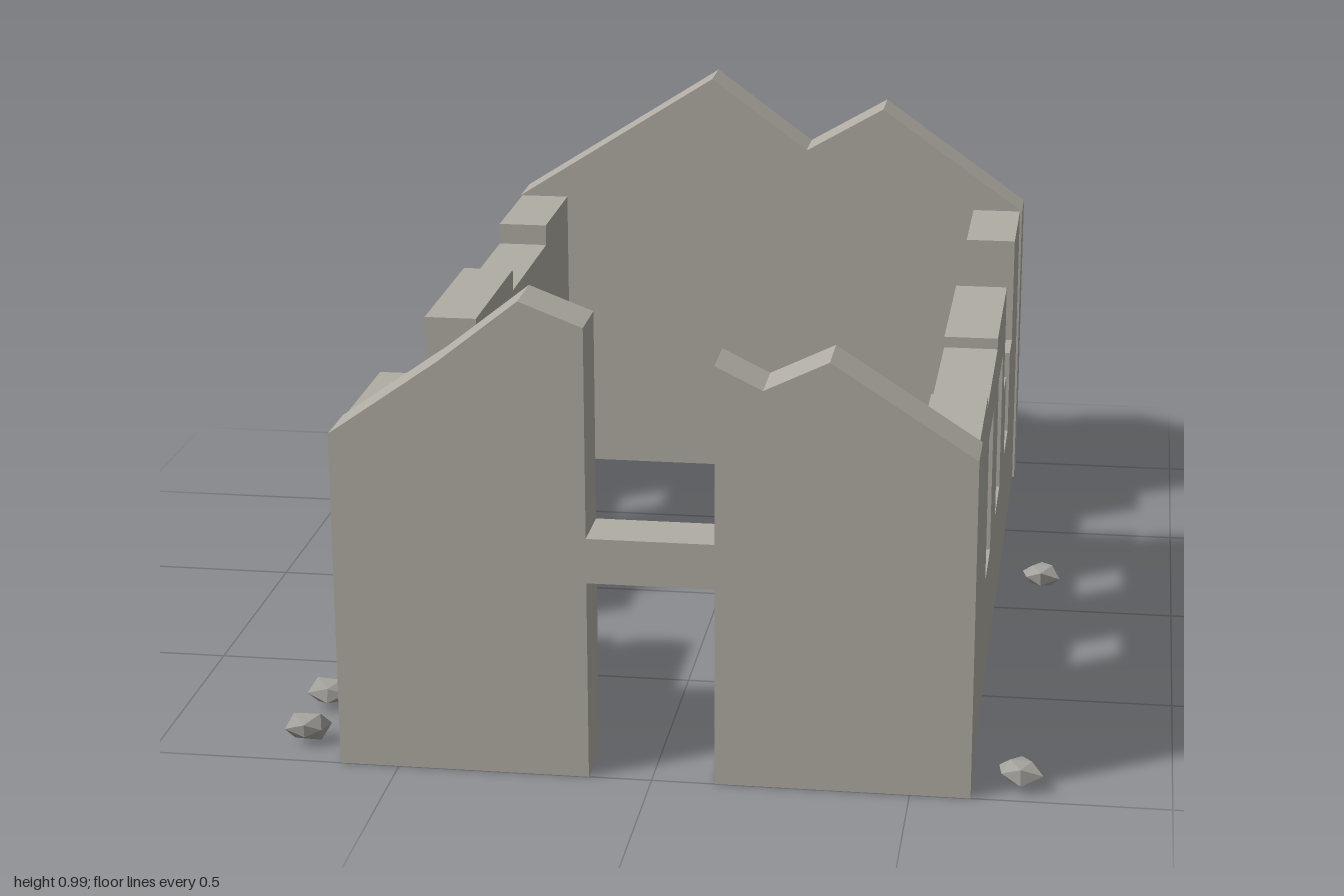
import * as THREE from 'three';

const WALL = 0.115;   // wall thickness
const HALF_X = 0.617;
const EAVE = 0.68;

const wallStone = new THREE.MeshStandardMaterial({ color: 0xb0aca3 });
wallStone.name = 'wallStone';
const rubbleStone = new THREE.MeshStandardMaterial({ color: 0xa3a19b, flatShading: true });
rubbleStone.name = 'rubbleStone';

const toPath = (pts, Type = THREE.Shape) => new Type(pts.map(([x, y]) => new THREE.Vector2(x, y)));

function slab(name, outline, holes = [], depth = WALL) {
  const shape = toPath(outline);
  holes.forEach((h) => shape.holes.push(toPath(h, THREE.Path)));
  const geo = new THREE.ExtrudeGeometry(shape, { depth, bevelEnabled: false });
  const mesh = new THREE.Mesh(geo, wallStone);
  mesh.name = name;
  return mesh;
}

// Long wall: three bays, the rear one broken down into its window
function sideWall(name, side, shallowTop) {
  const end = 1 - WALL, half = 0.094, sill = 0.25, head = 0.556, broken = 0.44;
  const windowAt = (c) => [[c - half, sill], [c - half, head], [c + half, head], [c + half, sill]];
  const outline = [
    [-end, 0], [end, 0], [end, EAVE],
    [0.6, EAVE], [0.6, shallowTop], [0.2, shallowTop], [0.2, EAVE], [-0.2, EAVE],
    [-0.2, broken], [-0.4 + half, broken], [-0.4 + half, sill],
    [-0.4 - half, sill], [-0.4 - half, broken], [-0.6, broken],
    [-0.6, EAVE], [-end, EAVE],
  ];
  const wall = slab(name, outline, [windowAt(0), windowAt(0.4)], 0.112);
  wall.rotation.y = -side * Math.PI / 2;
  wall.position.x = side * 0.612;
  return wall;
}

// Rough chunk of fallen stone
function rubble(x, z, seed) {
  const geo = new THREE.IcosahedronGeometry(1, 0);
  const pos = geo.attributes.position;
  const v = new THREE.Vector3();
  for (let i = 0; i < pos.count; i++) {
    v.fromBufferAttribute(pos, i);
    // the same corner always gets the same offset, so faces stay joined
    const r = 0.98 + 0.16 * Math.sin(v.x * 5.1 + v.y * 7.3 + v.z * 3.7 + seed);
    pos.setXYZ(i, v.x * r * 0.046, v.y * r * 0.029, v.z * r * 0.038);
  }
  geo.computeVertexNormals();
  const mesh = new THREE.Mesh(geo, rubbleStone);
  mesh.name = 'rubble';
  mesh.position.set(x, 0.036, z);
  return mesh;
}

export function createModel() {
  const model = new THREE.Group();
  model.name = 'ruinedHouse';

  // Front gable, split by the doorway and the gap above its lintel
  const front = slab('frontGable', [
    [-HALF_X, 0], [-0.123, 0], [-0.123, 0.402], [0.123, 0.402], [0.123, 0], [HALF_X, 0],
    [HALF_X, EAVE], [0.338, 0.86], [0.214, 0.8], [0.123, 0.845], [0.123, 0.492],
    [-0.123, 0.492], [-0.123, 0.908], [-0.246, 0.955], [-0.404, 0.83], [-HALF_X, EAVE],
  ]);
  front.position.z = 1 - WALL;

  // Back gable with a broken ridge
  const back = slab('backGable', [
    [-HALF_X, 0], [HALF_X, 0], [HALF_X, EAVE], [0.277, 0.922],
    [0.092, 0.815], [-0.139, 0.985], [-HALF_X, EAVE],
  ]);
  back.position.z = -1;

  model.add(front, back, sideWall('leftWall', 1, 0.657), sideWall('rightWall', -1, 0.632));

  // Scattered stones beside the long walls
  const stones = new THREE.Group();
  stones.name = 'scatteredStones';
  [[-0.708, -0.455], [-0.708, -0.25], [-0.705, 0.73], [-0.705, 0.915], [0.71, -0.12], [0.71, 0.938]]
    .forEach(([x, z], i) => stones.add(rubble(x, z, i * 1.7)));
  model.add(stones);

  return model;
}
